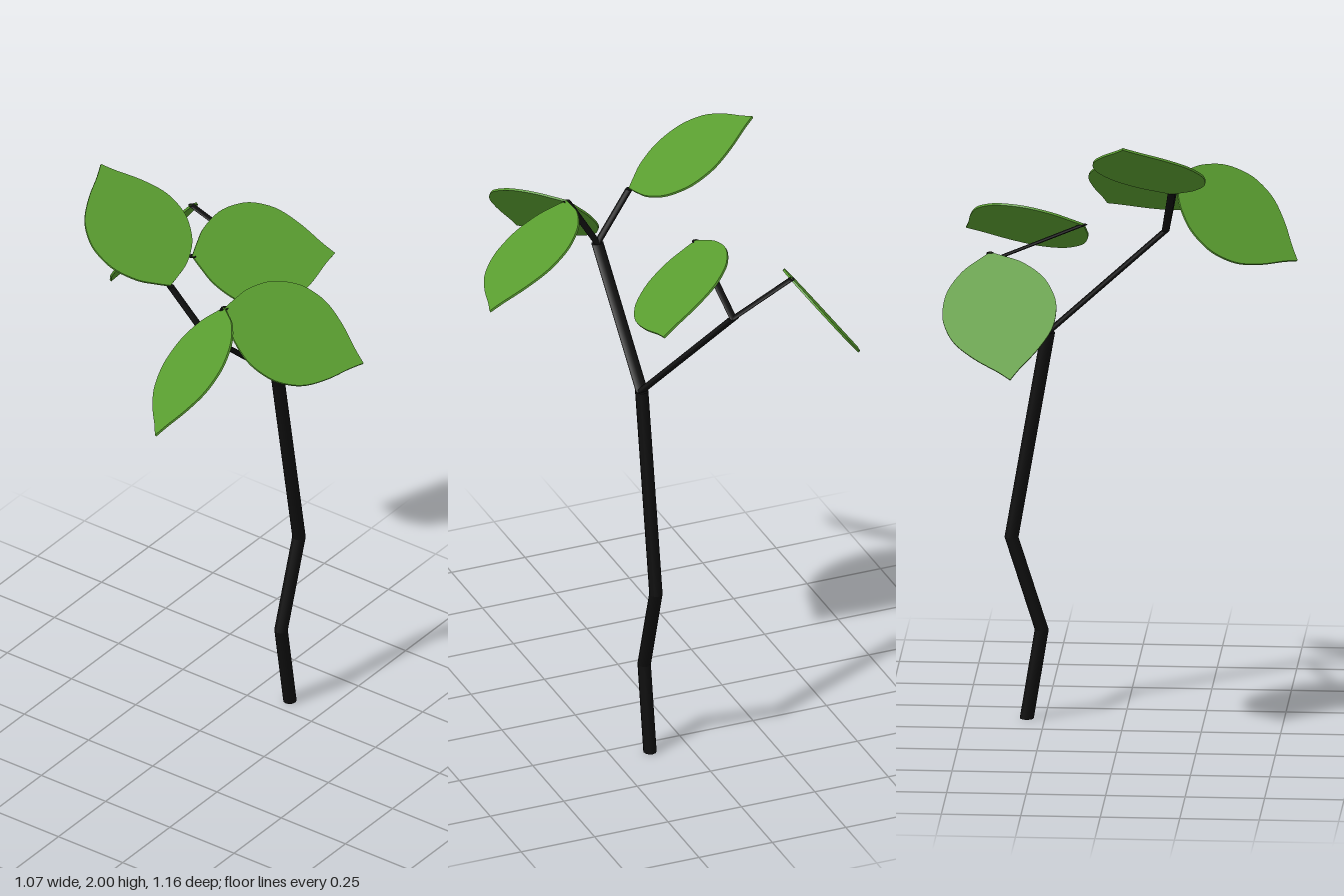
import * as THREE from 'three';

const V = (p) => new THREE.Vector3(...p);

export function createModel() {
  const tree = new THREE.Group();
  tree.name = 'sapling';
  const bark = new THREE.MeshStandardMaterial({ color: 0x0e0e0e });
  bark.name = 'black bark';
  const green = new THREE.MeshStandardMaterial({ color: 0x5a9e30 });
  green.name = 'leaf green';

  // Limb segment with horizontal end rings, sheared from start to end
  function limb(name, from, to, rx, rz) {
    const geo = new THREE.CylinderGeometry(1, 1, 1, 12).translate(0, 0.5, 0);
    const m = new THREE.Matrix4().makeBasis(V([rx, 0, 0]), V(to).sub(V(from)), V([0, 0, rz]));
    geo.applyMatrix4(m.setPosition(...from));
    const mesh = new THREE.Mesh(geo, bark);
    mesh.name = name;
    tree.add(mesh);
  }

  // Crooked trunk
  const trunk = [[0.307, 0, 0.125], [0.26, 0.29, 0.125], [0.355, 0.59, 0.125], [0.24, 1.26, 0.125]];
  for (let i = 0; i < 3; i++) limb('trunk' + (i + 1), trunk[i], trunk[i + 1], 0.022, 0.021);

  // Two main branches, each splitting into twigs
  const fork = trunk[3];
  const rightEnd = [-0.13, 1.6, 0.12];
  const leftEnd = [0.41, 1.555, -0.115];
  limb('rightBranch', fork, rightEnd, 0.013, 0.02);
  limb('leftBranch', fork, leftEnd, 0.012, 0.019);

  // Half-width of a leaf along its length
  const profile = [[0.05, 0.045], [0.12, 0.098], [0.25, 0.152], [0.4, 0.177], [0.52, 0.177],
    [0.66, 0.154], [0.8, 0.1], [0.92, 0.037]];

  // Flat pointed leaf from base to tip; side is its width direction
  function leaf(name, base, tip, side) {
    const axis = V(tip).sub(V(base));
    const len = axis.length();
    const u = axis.normalize();
    const w = V(side).addScaledVector(u, -V(side).dot(u)).normalize();
    const shape = new THREE.Shape();
    shape.moveTo(0, 0);
    shape.splineThru([...profile.map(([t, h]) => new THREE.Vector2(h, t * len)), new THREE.Vector2(0, len)]);
    shape.splineThru([...profile.map(([t, h]) => new THREE.Vector2(-h, t * len)).reverse(), new THREE.Vector2(0, 0)]);
    const geo = new THREE.ExtrudeGeometry(shape, { depth: 0.007, bevelEnabled: false, curveSegments: 4 });
    geo.translate(0, 0, -0.0035);
    geo.applyMatrix4(new THREE.Matrix4().makeBasis(w, u, w.clone().cross(u)).setPosition(...base));
    const mesh = new THREE.Mesh(geo, green);
    mesh.name = name;
    tree.add(mesh);
  }

  // Twigs and the leaves they carry
  const frontTip = [-0.158, 1.755, 0.212];
  const backTip = [-0.157, 1.755, 0];
  const rearTip = [0.392, 1.642, -0.32];
  const innerTip = [0.112, 1.68, -0.113];
  limb('frontTwig', rightEnd, frontTip, 0.012, 0.012);
  limb('backTwig', rightEnd, backTip, 0.012, 0.012);
  limb('rearTwig', leftEnd, rearTip, 0.011, 0.011);
  limb('innerTwig', leftEnd, innerTip, 0.012, 0.012);

  leaf('sideLeaf', frontTip, [-0.537, 1.48, 0.222], [-0.3, 0.44, 0.84]);
  leaf('frontLeaf', frontTip, [0.083, 1.56, 0.575], [0.846, 0.418, -0.332]);
  leaf('topLeaf', backTip, [-0.028, 2, -0.366], [0.953, -0.047, 0.298]);
  leaf('rearLeaf', rearTip, [0.312, 1.3, -0.578], [0.983, -0.146, -0.11]);
  leaf('innerLeaf', innerTip, [0.5, 1.59, 0.158], [0.55, 0.55, -0.62]);

  return tree;
}
